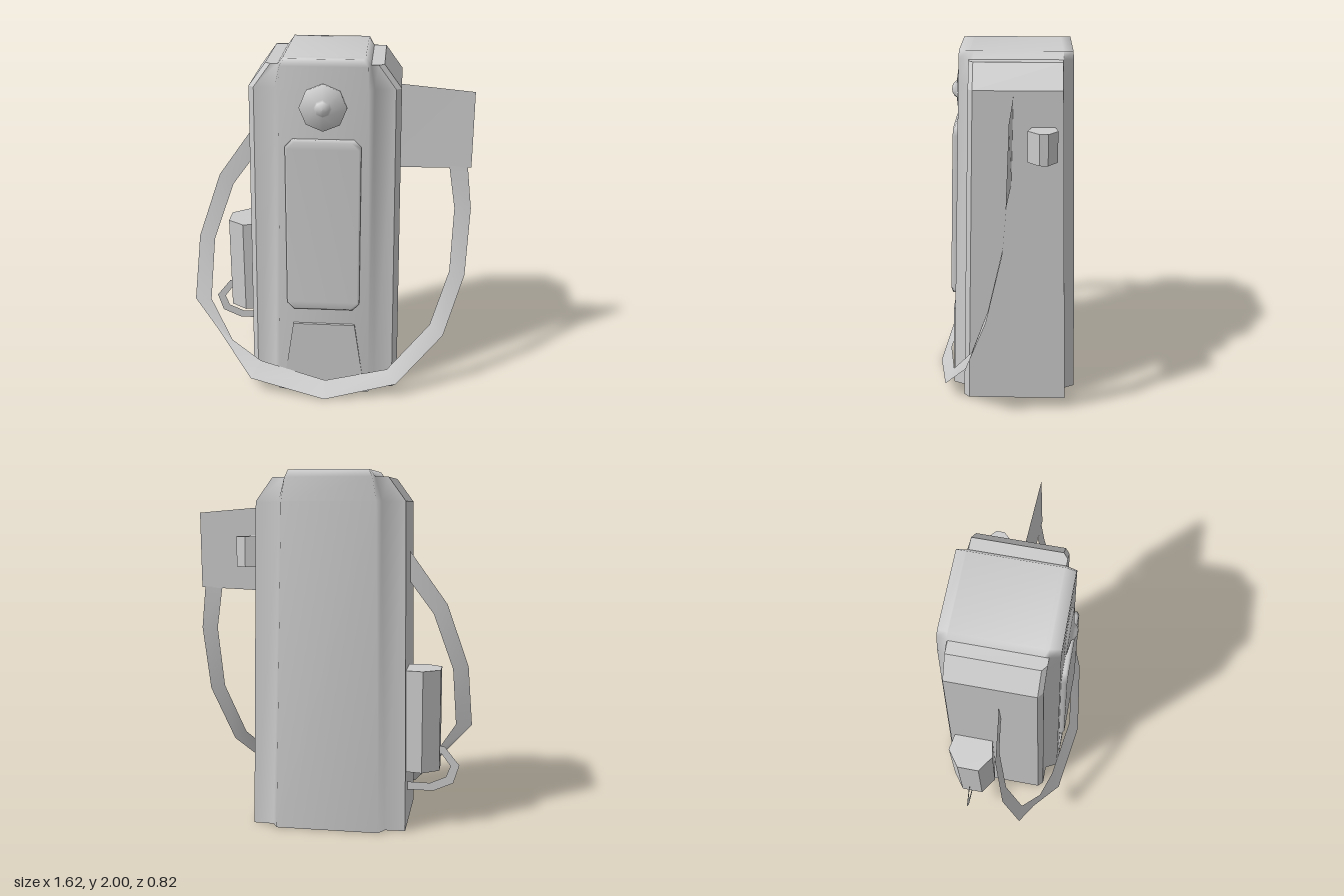
import * as THREE from 'three';
import { mergeVertices } from 'three/addons/utils/BufferGeometryUtils.js';

const CX = -0.03; // centre line of the body

// Quads between successive closed rings of points; keep() picks faces, cap closes the last ring.
function loft(rings, { keep = () => true, cap = false, flat = false } = {}) {
  const n = rings[0].length, index = [];
  for (let r = 0; r < rings.length - 1; r++) {
    for (let i = 0; i < n; i++) {
      if (!keep(r, i)) continue;
      const j = (i + 1) % n, a = r * n, b = a + n;
      index.push(a + i, a + j, b + j, a + i, b + j, b + i);
    }
  }
  if (cap) {
    const a = (rings.length - 1) * n;
    for (let i = 0; i < n / 2 - 1; i++) {
      const l = a + n - 1 - i;
      index.push(a + i, a + i + 1, l - 1, a + i, l - 1, l);
    }
  }
  let geo = new THREE.BufferGeometry();
  geo.setAttribute('position', new THREE.Float32BufferAttribute(rings.flat(2), 3));
  geo.setIndex(index);
  geo = flat ? geo.toNonIndexed() : mergeVertices(geo, 1e-4);
  geo.computeVertexNormals();
  return geo;
}

// Open ribbon between two rows of points
function ribbon(outer, inner) {
  const pos = [], index = [];
  outer.forEach((p, i) => {
    pos.push(...p, ...inner[i]);
    if (i) index.push(2 * i - 2, 2 * i, 2 * i - 1, 2 * i - 1, 2 * i, 2 * i + 1);
  });
  const geo = new THREE.BufferGeometry();
  geo.setAttribute('position', new THREE.Float32BufferAttribute(pos, 3));
  geo.setIndex(index);
  geo.computeVertexNormals();
  return geo;
}

// Upright prism from an [x, z] outline
function prism(outline, y0, y1) {
  const shape = new THREE.Shape(outline.map(([x, z]) => new THREE.Vector2(x, -z)));
  const geo = new THREE.ExtrudeGeometry(shape, { depth: y1 - y0, bevelEnabled: false });
  return geo.rotateX(-Math.PI / 2).translate(0, y0, 0);
}

export function createModel() {
  const group = new THREE.Group();
  const grey = new THREE.MeshStandardMaterial({ color: 0xcccccc, side: THREE.DoubleSide });
  grey.name = 'light grey';
  const add = (name, geo) => {
    const mesh = new THREE.Mesh(geo, grey);
    mesh.name = name;
    group.add(mesh);
    return mesh;
  };

  // Body: half sections [x, z] from front to back, mirrored about the centre line
  const levels = [
    [0, [[0.265, 0.31], [0.3, 0.24], [0.405, 0.24], [0.435, 0.21], [0.435, -0.35], [0.32, -0.355], [0.29, -0.41]]],
    [1.83, [[0.24, 0.255], [0.27, 0.195], [0.385, 0.195], [0.415, 0.17], [0.415, -0.305], [0.285, -0.31], [0.26, -0.365]]],
    [1.96, [[0.235, 0.252], [0.25, 0.195], [0.29, 0.195], [0.32, 0.17], [0.32, -0.305], [0.25, -0.31], [0.24, -0.362]]],
    [1.96, [[0.235, 0.252], [0.25, 0.195], [0.25, 0.195], [0.25, 0.17], [0.25, -0.305], [0.25, -0.31], [0.24, -0.362]]],
    [2, [[0.21, 0.25], [0.22, 0.195], [0.22, 0.19], [0.22, 0.17], [0.22, -0.305], [0.22, -0.31], [0.22, -0.36]]],
  ];
  const rings = levels.map(([y, half]) => [
    ...half.map(([x, z]) => [CX + x, y, z]),
    ...[...half].reverse().map(([x, z]) => [CX - x, y, z]),
  ]);
  const isSide = (r, i) => r < 3 && [2, 3, 9, 10].includes(i);
  add('bodyShell', loft(rings, { keep: (r, i) => !isSide(r, i), cap: true }));
  add('bodySides', loft(rings, { keep: isSide, flat: true }));

  // Tall front panel with cut corners and a soft rim
  const panelRing = (inset, lift) => {
    const w = 0.208 - inset, h = 0.508 - inset, c = 0.04;
    const right = [[w - c, -h], [w, -h + c], [w, h - c], [w - c, h]];
    return [...right, ...[...right].reverse().map(([x, y]) => [-x, y])].map(([x, y]) => [x, y, lift]);
  };
  const panel = add('frontPanel', loft([panelRing(0, -0.01), panelRing(0, 0.02), panelRing(0.012, 0.032)], { cap: true }));
  panel.position.set(-0.032, 1.057, 0.277);
  panel.rotation.x = -0.028;

  // Round badge with a small dome
  const profile = [[0.13, -0.02], [0.13, 0.015], [0.05, 0.026], [0.04, 0.04], [0.02, 0.052], [0, 0.054]];
  const badge = new THREE.LatheGeometry(profile.map(([x, y]) => new THREE.Vector2(x, y)), 8).rotateX(Math.PI / 2);
  add('badge', badge).position.set(-0.033, 1.74, 0.255);

  // Tapered plate at the foot of the front
  const foot = new THREE.Shape([[-0.275, 0], [0.215, 0], [0.15, 0.45], [-0.207, 0.45]].map((p) => new THREE.Vector2(...p)));
  add('footPlate', new THREE.ExtrudeGeometry(foot, { depth: 0.03, bevelEnabled: false })).position.z = 0.282;

  // Side canister and side knob
  add('sideCanister', prism([[-0.44, -0.3], [-0.55, -0.32], [-0.645, -0.25], [-0.645, -0.125], [-0.55, -0.06], [-0.44, -0.08]], 0.33, 0.905));
  add('sideKnob', prism([[0.375, -0.265], [0.457, -0.28], [0.52, -0.228], [0.52, -0.182], [0.457, -0.12], [0.375, -0.145]], 1.465, 1.635));

  // Flat hook below the canister
  const flatZ = (pts) => pts.map(([x, y]) => [x, y, -0.2]);
  add('hook', ribbon(
    flatZ([[-0.64, 0.46], [-0.67, 0.457], [-0.755, 0.35], [-0.722, 0.245], [-0.61, 0.195], [-0.45, 0.195]]),
    flatZ([[-0.64, 0.415], [-0.655, 0.412], [-0.705, 0.345], [-0.68, 0.28], [-0.59, 0.24], [-0.45, 0.242]]),
  ));

  // Thin side flag that carries the strap
  add('sideFlag', ribbon(
    [[0.36, 1.802, -0.045], [0.795, 1.765, -0.03]],
    [[0.36, 1.31, -0.035], [0.795, 1.325, -0.015]],
  ));

  // Hanging strap: its depth follows its height
  const sweep = [[0, 0.41], [0.09, 0.345], [0.155, 0.3], [0.4, 0.18], [0.7, 0.085], [1.05, 0.005], [1.32, -0.018], [1.8, -0.04]];
  const depthAt = (y) => {
    let k = 1;
    while (k < sweep.length - 1 && sweep[k][0] < y) k++;
    const [[y0, z0], [y1, z1]] = [sweep[k - 1], sweep[k]];
    return z0 + ((z1 - z0) * (y - y0)) / (y1 - y0);
  };
  const hang = (pts) => pts.map(([x, y]) => [x, y, depthAt(y)]);
  add('strap', ribbon(
    hang([[0.775, 1.33], [0.805, 1.08], [0.785, 0.69], [0.67, 0.345], [0.4, 0.085], [-0.02, 0], [-0.465, 0.085],
      [-0.67, 0.33], [-0.815, 0.505], [-0.79, 0.875], [-0.665, 1.245], [-0.44, 1.56]]),
    hang([[0.67, 1.33], [0.71, 1.08], [0.695, 0.71], [0.59, 0.4], [0.345, 0.155], [-0.02, 0.09], [-0.41, 0.175],
      [-0.585, 0.28], [-0.72, 0.505], [-0.7, 0.86], [-0.585, 1.19], [-0.43, 1.4]]),
  ));

  return group;
}
